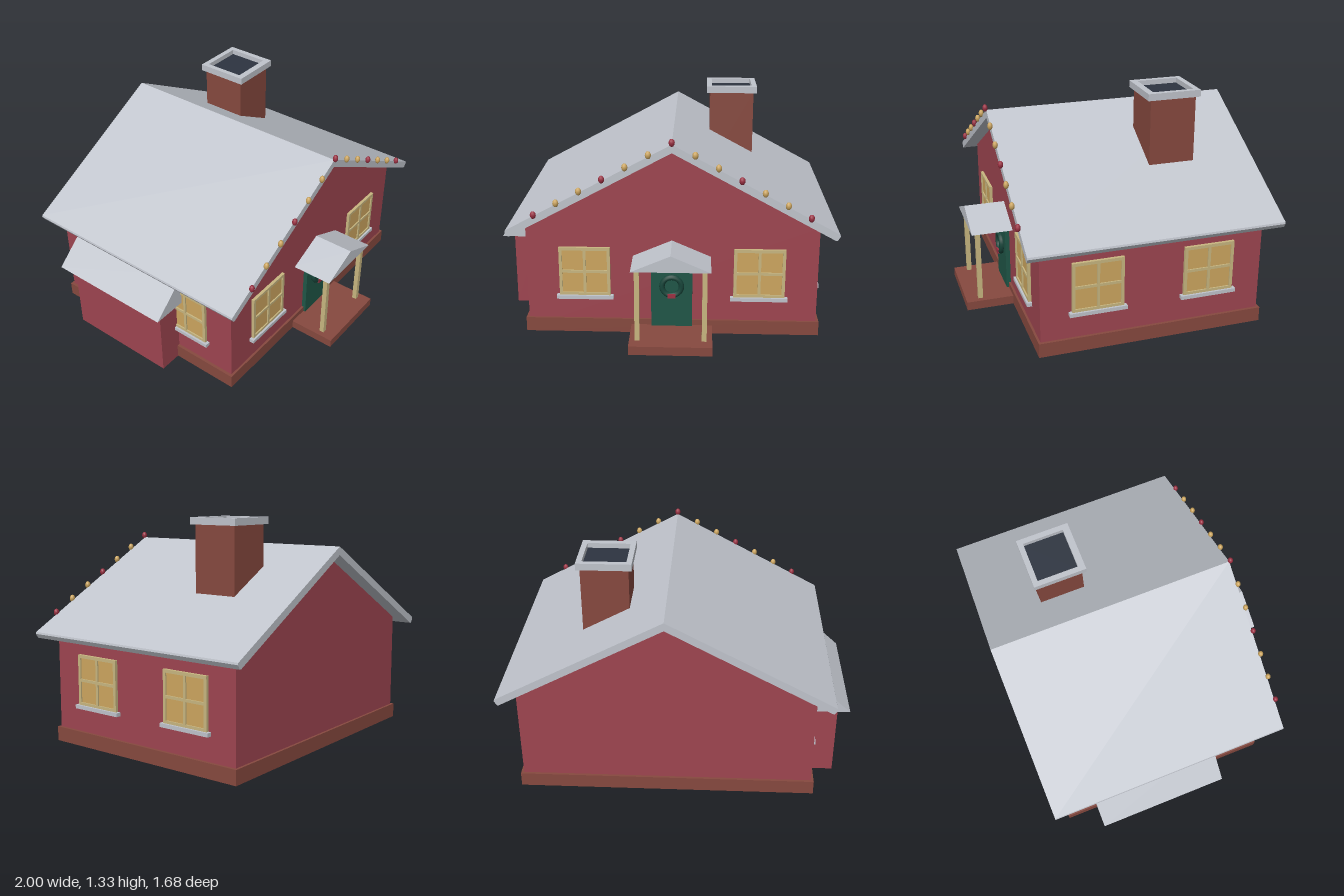
import * as THREE from 'three';

const mat = (name, color) => {
  const m = new THREE.MeshStandardMaterial({ color });
  m.name = name;
  return m;
};

export function createModel() {
  const house = new THREE.Group();
  house.name = 'house';
  const wallRed = mat('wall red', 0x9e4550);
  const brick = mat('brick', 0x87493f);
  const roofGrey = mat('roof grey', 0xc0c4cc);
  const gold = mat('warm gold', 0xcda65f);
  const cream = mat('cream trim', 0xc8b680);
  const doorGreen = mat('door green', 0x1f5647);
  const wreathGreen = mat('wreath green', 0x17453a);
  const festiveRed = mat('festive red', 0x9c3042);
  const soot = mat('soot', 0x2d3440);

  const add = (name, geo, material, parent = house) => {
    const m = new THREE.Mesh(geo, material);
    m.name = name;
    parent.add(m);
    return m;
  };
  // Box given by its minimum and maximum on each axis
  const box = (name, material, x0, x1, y0, y1, z0, z1, parent) => {
    const m = add(name, new THREE.BoxGeometry(x1 - x0, y1 - y0, z1 - z0), material, parent);
    m.position.set((x0 + x1) / 2, (y0 + y1) / 2, (z0 + z1) / 2);
    return m;
  };
  const outline = (pts) => new THREE.Shape(pts.map(([x, y]) => new THREE.Vector2(x, y)));
  const rect = (x0, x1, y0, y1) => [[x0, y0], [x1, y0], [x1, y1], [x0, y1]];
  // Profile in x and y, extruded from z0 to z1
  const prism = (name, material, shape, z0, z1, parent) => {
    const geo = new THREE.ExtrudeGeometry(shape, { depth: z1 - z0, bevelEnabled: false });
    const m = add(name, geo, material, parent);
    m.position.z = z0;
    return m;
  };

  const cx = 0.055; // centre line of the house

  // Main body
  box('foundation', brick, cx - 0.857, cx + 0.857, 0, 0.085, -0.765, 0.56);
  prism('walls', wallRed, outline([
    [cx - 0.84, 0.02], [cx + 0.84, 0.02], [cx + 0.84, 0.665], [cx, 1.12], [cx - 0.84, 0.665],
  ]), -0.75, 0.547);

  // Gabled roof, with slightly eased eaves
  const half = [[0.915, 0.62], [0.925, 0.62], [0.941, 0.645], [0.938, 0.656]];
  const roof = outline([
    [cx, 1.115],
    ...half.map(([x, y]) => [cx + x, y]),
    [cx, 1.163],
    ...half.slice().reverse().map(([x, y]) => [cx - x, y]),
  ]);
  prism('roof', roofGrey, roof, -0.838, 0.632);

  // Side extension with a lean-to roof
  box('extensionWalls', wallRed, -0.935, -0.78, 0, 0.46, -0.53, 0.15);
  prism('extensionRoof', roofGrey, outline([[-1, 0.455], [-0.78, 0.455], [-0.78, 0.653]]), -0.58, 0.195);

  // Chimney with an open cap
  box('chimney', brick, 0.27, 0.54, 0.8, 1.287, -0.47, -0.2);
  const capShape = outline(rect(0.25, 0.56, 0.178, 0.49));
  capShape.holes.push(outline(rect(0.281, 0.528, 0.217, 0.458)));
  const cap = prism('chimneyCap', roofGrey, capShape, 0, 0.04);
  cap.rotation.x = -Math.PI / 2;
  cap.position.y = 1.285;
  box('chimneyOpening', soot, 0.28, 0.53, 1.288, 1.296, -0.46, -0.215);

  // Windows: pane, frame with crossbars, and sill, facing local +z
  const addWindow = (name, x, y, z, turn) => {
    const g = new THREE.Group();
    g.name = name;
    g.position.set(x, y, z);
    g.rotation.y = turn;
    house.add(g);
    const r = 0.148;
    const frame = outline(rect(-r, r, -r, r));
    for (const sx of [-1, 1]) {
      for (const sy of [-1, 1]) {
        const [a, b] = [0.008, 0.13];
        const xs = sx > 0 ? [a, b] : [-b, -a];
        const ys = sy > 0 ? [a, b] : [-b, -a];
        frame.holes.push(outline(rect(...xs, ...ys)));
      }
    }
    prism('windowFrame', cream, frame, 0, 0.018, g);
    box('windowPane', gold, -0.14, 0.14, -0.14, 0.14, 0.002, 0.01, g);
    box('windowSill', roofGrey, -0.165, 0.165, -0.168, -0.146, -0.005, 0.03, g);
  };
  for (const s of [-1, 1]) {
    addWindow('frontWindow', cx + s * 0.504, 0.383, 0.547, 0);
    for (const z of [0.222, -0.427]) {
      addWindow('sideWindow', cx + s * 0.84, 0.393, z, s * Math.PI / 2);
    }
  }

  // Door with wreath and bow
  box('door', doorGreen, cx - 0.119, cx + 0.119, 0.05, 0.43, 0.54, 0.573);
  const wreath = add('wreath', new THREE.TorusGeometry(0.056, 0.016, 10, 28), wreathGreen);
  wreath.position.set(cx, 0.307, 0.582);
  box('wreathBow', festiveRed, cx - 0.022, cx + 0.022, 0.24, 0.264, 0.585, 0.602);

  // Porch
  box('porchStep', brick, cx - 0.236, cx + 0.236, 0, 0.052, 0.5, 0.84);
  for (const s of [-1, 1]) {
    const x = cx + s * 0.19;
    box('porchPost', cream, x - 0.014, x + 0.014, 0.05, 0.485, 0.738, 0.766);
  }
  prism('porchRoof', roofGrey, outline([[cx - 0.224, 0.48], [cx + 0.224, 0.48], [cx, 0.577]]), 0.54, 0.79);

  // String of bulbs along the front gable
  const bulb = new THREE.SphereGeometry(0.018, 10, 6);
  bulb.scale(0.95, 1.25, 0.85);
  for (let i = -6; i <= 6; i++) {
    const m = add('bulb', bulb, i % 3 === 0 ? festiveRed : gold);
    m.position.set(cx + i * 0.129, 1.175 - Math.abs(i) * 0.0705, 0.638);
  }

  return house;
}
